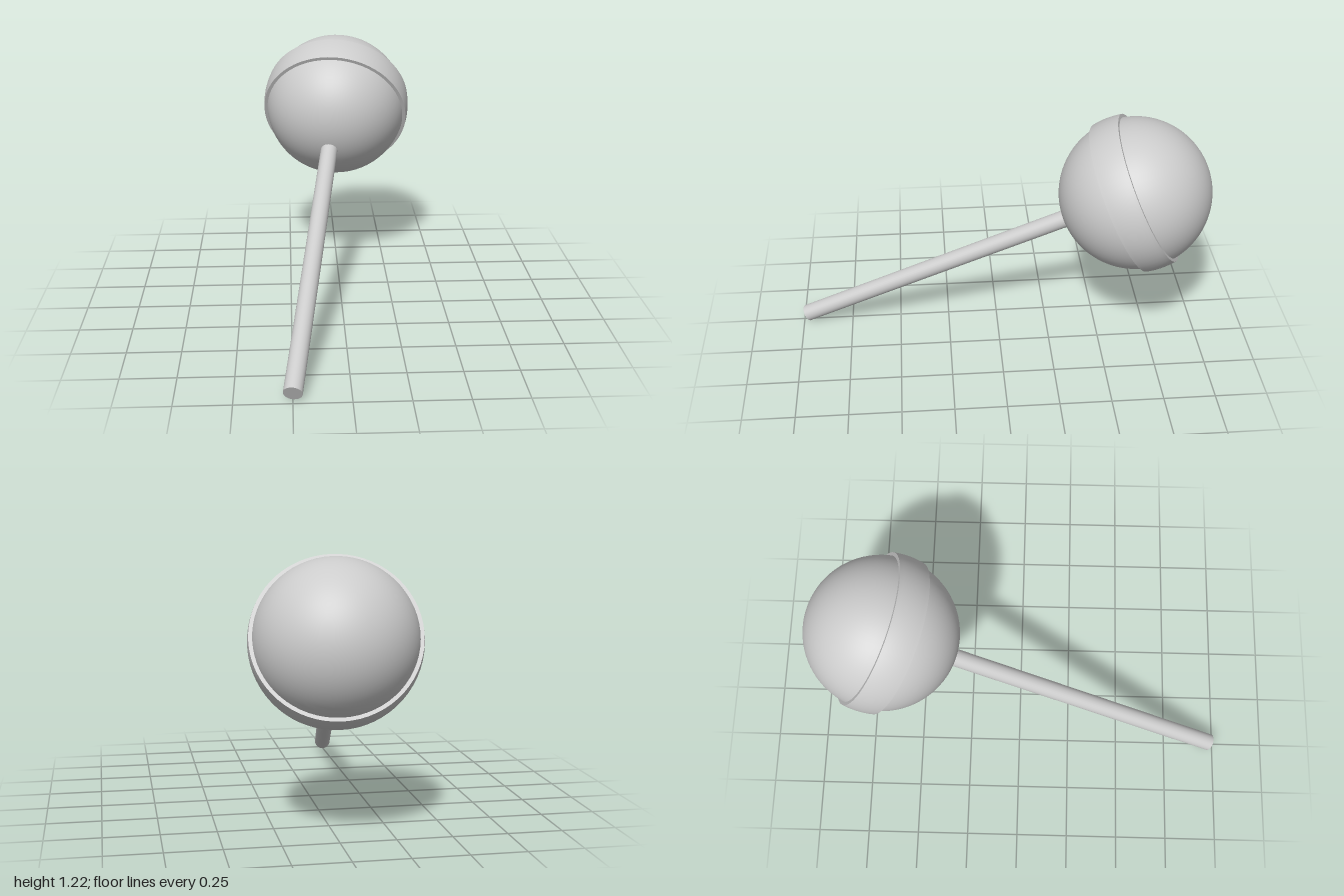
import * as THREE from 'three';
import { toCreasedNormals } from 'three/addons/utils/BufferGeometryUtils.js';

export function createModel() {
  const model = new THREE.Group();
  model.name = 'lollipop';
  const material = new THREE.MeshStandardMaterial({ color: 0xcccccc });

  const candyCentre = new THREE.Vector3(0, 0.855, -0.64);
  const stickEnd = new THREE.Vector3(-0.25, 0.039, 0.981);
  const candyRadius = 0.36, bandRadius = 0.376, stickRadius = 0.042;

  // Everything shares one tilted axis: local y runs up the stick, origin at the candy centre
  const axis = candyCentre.clone().sub(stickEnd);
  const length = axis.length();
  const tilted = new THREE.Group();
  tilted.name = 'tiltedLollipop';
  tilted.position.copy(candyCentre);
  tilted.quaternion.setFromUnitVectors(new THREE.Vector3(0, 1, 0), axis.normalize());
  model.add(tilted);

  const add = (name, geometry) => {
    const mesh = new THREE.Mesh(geometry, material);
    mesh.name = name;
    tilted.add(mesh);
    return mesh;
  };

  // Round candy
  add('candy', new THREE.SphereGeometry(candyRadius, 64, 40));

  // Raised band: a slice of a slightly larger sphere with flat stepped edges
  const halfHeight = 0.072;
  const halfAngle = Math.asin(halfHeight / bandRadius);
  const profile = [new THREE.Vector2(0.34, -halfHeight)];
  for (let i = 0; i <= 8; i++) {
    const a = halfAngle * (i / 4 - 1);
    profile.push(new THREE.Vector2(bandRadius * Math.cos(a), bandRadius * Math.sin(a)));
  }
  profile.push(new THREE.Vector2(0.34, halfHeight));
  add('band', toCreasedNormals(new THREE.LatheGeometry(profile, 64), 0.6));

  // Stick, its top buried in the candy
  const stickLength = length - 0.2;
  const stick = add('stick', new THREE.CylinderGeometry(stickRadius, stickRadius, stickLength, 32));
  stick.position.y = -length + stickLength / 2;

  return model;
}
